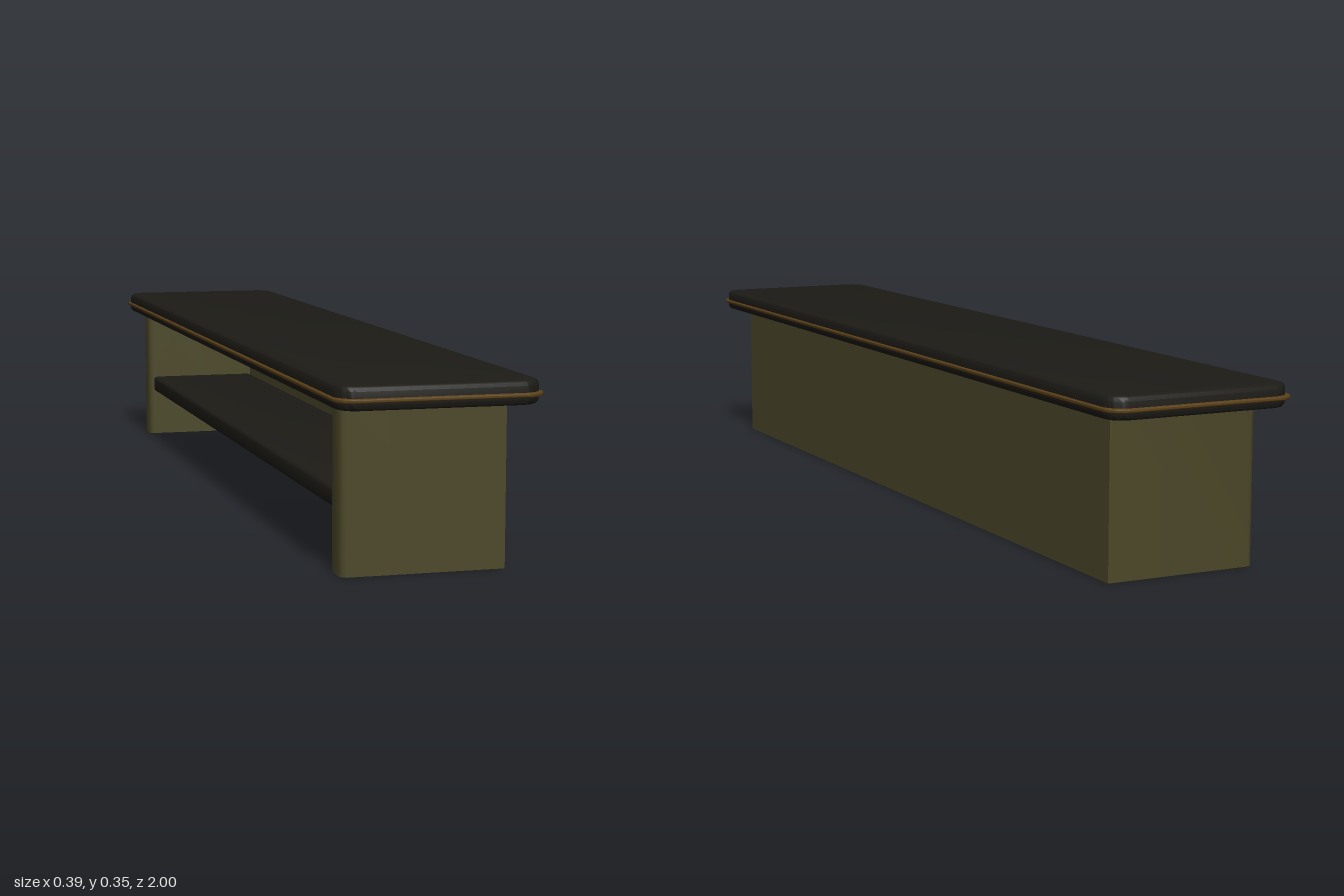
import * as THREE from 'three';
import { toCreasedNormals } from 'three/addons/utils/BufferGeometryUtils.js';

const material = (color, side = THREE.FrontSide) => new THREE.MeshStandardMaterial({ color, side });

function roundedRect(hx, hz, r) {
  const s = new THREE.Shape();
  s.absarc(hx - r, hz - r, r, 0, Math.PI / 2);
  s.absarc(r - hx, hz - r, r, Math.PI / 2, Math.PI);
  s.absarc(r - hx, r - hz, r, Math.PI, Math.PI * 1.5);
  s.absarc(hx - r, r - hz, r, Math.PI * 1.5, Math.PI * 2);
  return s;
}

// Horizontal slab with rounded plan corners and rounded rims
function slab(name, hx, hz, y0, y1, corner, bevel, mat) {
  const g = new THREE.ExtrudeGeometry(roundedRect(hx - bevel, hz - bevel, corner), {
    depth: y1 - y0 - 2 * bevel, bevelSize: bevel, bevelThickness: bevel,
    bevelSegments: 3, curveSegments: 6,
  });
  g.rotateX(-Math.PI / 2).translate(0, y0 + bevel, 0);
  const mesh = new THREE.Mesh(toCreasedNormals(g, 0.6), mat);
  mesh.name = name;
  return mesh;
}

// Upright walls following a closed outline of [x, z] points, open above and below
function walls(outline, height) {
  const pos = [], index = [], n = outline.length;
  outline.forEach(([x, z], i) => {
    pos.push(x, 0, z, x, height, z);
    const a = 2 * i, b = 2 * ((i + 1) % n);
    index.push(a, b, a + 1, b, b + 1, a + 1);
  });
  const g = new THREE.BufferGeometry();
  g.setAttribute('position', new THREE.Float32BufferAttribute(pos, 3));
  g.setIndex(index);
  return toCreasedNormals(g, 0.9);
}

export function createModel() {
  const group = new THREE.Group();
  const dark = material(0x1c1b16);
  const olive = material(0x4c4829, THREE.DoubleSide);
  const gold = material(0x5a4018);

  // Hollow U-shaped base: long panel on +x, a wing at each end, open on -x
  const back = -0.163, front = 0.148, inner = 0.103, z1 = 0.913, z0 = 0.847, c = 0.012;
  const half = [
    [inner, z0], [back + c, z0], [back + c * 0.3, z0 + c * 0.3], [back, z0 + c],
    [back, z1 - c], [back + c * 0.3, z1 - c * 0.3], [back + c, z1], [front, z1],
  ];
  const outline = [...half, ...half.map(([x, z]) => [x, -z]).reverse()];
  const base = new THREE.Mesh(walls(outline, 0.312), olive);
  base.name = 'counterBase';
  group.add(base);

  // Shelf between the wings
  const shelf = slab('shelf', 0.128, 0.85, 0.112, 0.148, 0.008, 0.006, dark);
  shelf.position.x = -0.025;
  group.add(shelf);

  // Counter top with a trim band around its edge
  group.add(slab('counterTop', 0.19, 0.992, 0.309, 0.354, 0.03, 0.01, dark));
  group.add(slab('edgeTrim', 0.195, 1, 0.324, 0.332, 0.035, 0.003, gold));
  return group;
}
